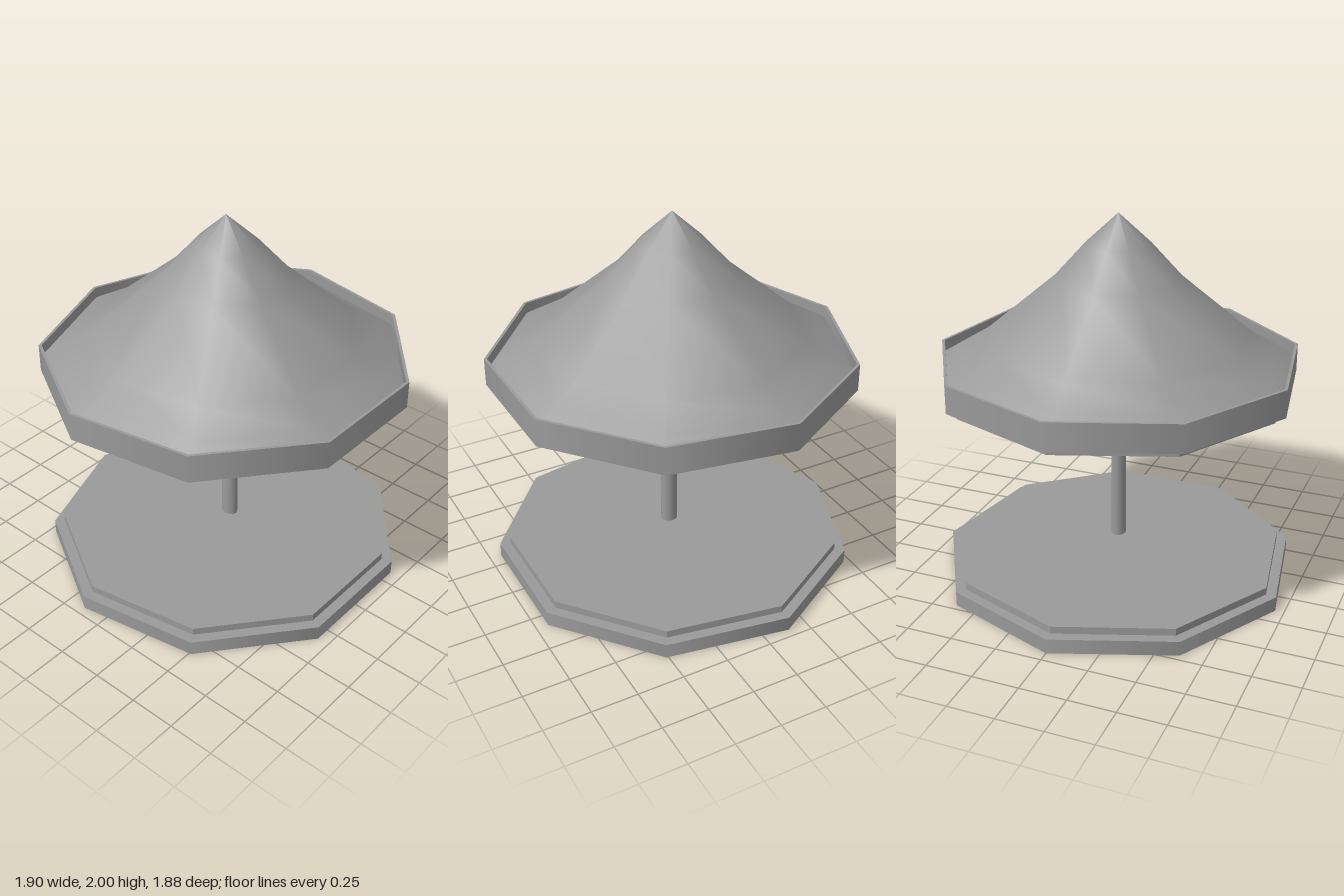
import * as THREE from 'three';

const SIDES = 9;
const CENTER_Z = 0.027;
const GREY = 0x9a9a9a;

// Nine-sided turned solid with one corner at the back; profile points are [radius, y].
// Inner points are doubled when hard is set, which keeps the profile corners sharp.
function turned(name, profile, { hard = true, flat = false } = {}) {
  const pts = profile.flatMap(([r, y], i) => {
    const copies = hard && i > 0 && i < profile.length - 1 ? 2 : 1;
    return Array.from({ length: copies }, () => new THREE.Vector2(r, y));
  });
  const geometry = new THREE.LatheGeometry(pts, SIDES, Math.PI, Math.PI * 2);
  const material = new THREE.MeshStandardMaterial({ color: GREY, flatShading: flat });
  const mesh = new THREE.Mesh(geometry, material);
  mesh.name = name;
  mesh.position.z = CENTER_Z;
  return mesh;
}

// Closed slab between two heights
const slab = (r, y0, y1) => [[0, y0], [r, y0], [r, y1], [0, y1]];

export function createModel() {
  const group = new THREE.Group();
  group.name = 'carousel';

  // Ground platform and its raised step
  group.add(turned('basePlatform', slab(0.967, 0, 0.08)));
  group.add(turned('baseStep', slab(0.91, 0.08, 0.12), { flat: true }));

  // Canopy: lower step, hollow rim and swept roof
  group.add(turned('canopyStep', slab(0.91, 1.06, 1.1), { flat: true }));
  group.add(turned('canopyRim', [
    [0, 1.1], [0.967, 1.1], [0.967, 1.25], [0.951, 1.25], [0.951, 1.18],
  ]));
  group.add(turned('roof', [
    [0.951, 1.19], [0.855, 1.25], [0.7, 1.345], [0.33, 1.66], [0.17, 1.84], [0, 2],
  ], { hard: false }));

  // Slightly oval pole floating between platform and canopy
  const pole = new THREE.Mesh(
    new THREE.CylinderGeometry(1, 1, 0.87, 16),
    new THREE.MeshStandardMaterial({ color: GREY }),
  );
  pole.name = 'pole';
  pole.scale.set(0.039, 1, 0.046);
  pole.position.set(0.007, 0.613, 0.053);
  group.add(pole);

  return group;
}
